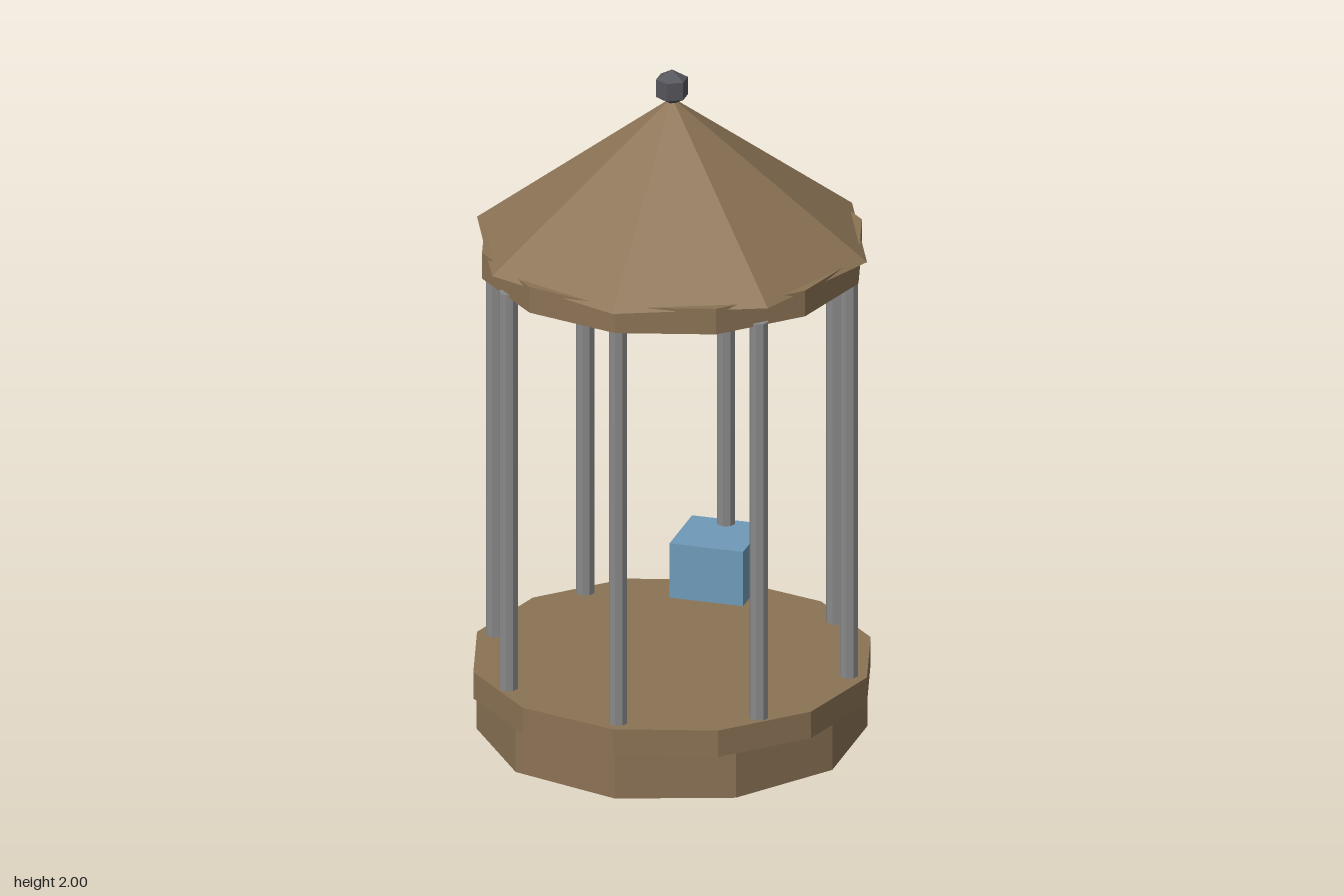
import * as THREE from 'three';

export function createModel() {
  const group = new THREE.Group();
  const material = (name, color) => {
    const m = new THREE.MeshStandardMaterial({ color, flatShading: true });
    m.name = name;
    return m;
  };
  const wood = material('wood brown', 0x8b7355);
  const metal = material('post grey', 0x888888);
  const dark = material('finial dark grey', 0x55555c);
  const blue = material('box blue', 0x6f9ab8);

  const add = (name, geometry, mat, x, y, z) => {
    const mesh = new THREE.Mesh(geometry, mat);
    mesh.name = name;
    mesh.position.set(x, y, z);
    group.add(mesh);
    return mesh;
  };

  // Upright prism or cone between two heights
  const prism = (name, mat, rTop, rBottom, y0, y1, sides, x = 0, z = 0) =>
    add(name, new THREE.CylinderGeometry(rTop, rBottom, y1 - y0, sides), mat, x, (y0 + y1) / 2, z);

  // Stepped base
  prism('base', wood, 0.55, 0.55, 0, 0.14, 10);
  prism('platform', wood, 0.573, 0.573, 0.14, 0.22, 12);

  // Ring of posts
  for (let i = 0; i < 8; i++) {
    const a = (i * Math.PI) / 4;
    prism('post', metal, 0.027, 0.027, 0.22, 1.425, 8, 0.52 * Math.sin(a), 0.52 * Math.cos(a));
  }

  // Roof plate and pointed roof
  prism('roofPlate', wood, 0.548, 0.548, 1.415, 1.493, 12);
  add('roof', new THREE.ConeGeometry(0.573, 0.432, 8), wood, 0, 1.699, 0);

  // Finial, with its corners facing front and back
  add('finial', new THREE.SphereGeometry(0.053, 6, 3), dark, 0, 1.947, 0).rotation.y = Math.PI / 2;

  // Box at the back post
  add('box', new THREE.BoxGeometry(0.216, 0.165, 0.216), blue, 0, 0.332, -0.438);

  return group;
}
